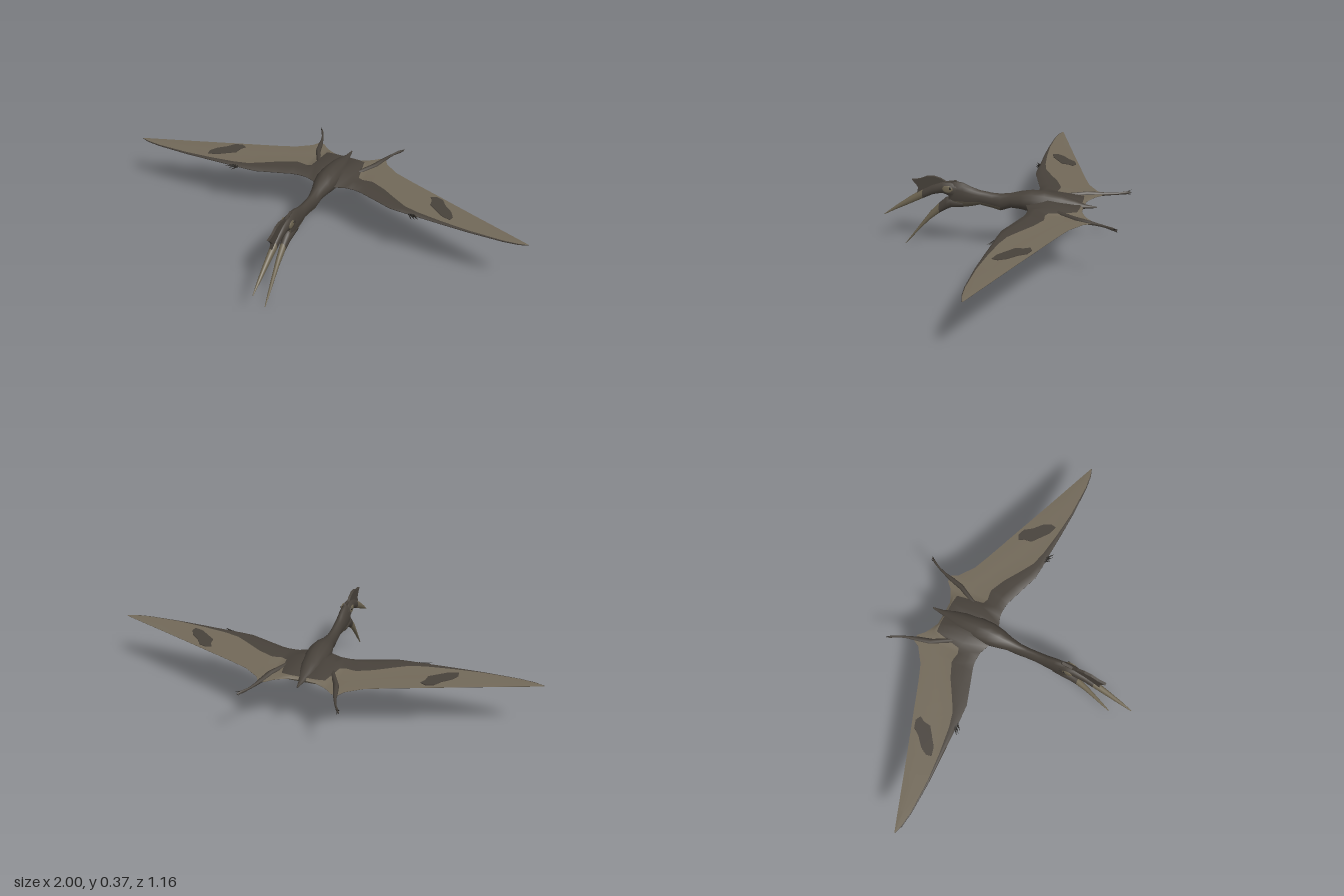
import * as THREE from 'three';

const mat = (name, color, side = THREE.FrontSide) => {
  const m = new THREE.MeshStandardMaterial({ color, side });
  m.name = name;
  return m;
};

// Skin over equal-sized rings of points; pick(i, j) chooses the material of each face
function loft(rings, pick = () => 0, flip = false) {
  const n = rings[0].length, lists = [[], []], pos = rings.flat(2);
  const tri = (k, a, b, c) => lists[k].push(...(flip ? [a, c, b] : [a, b, c]));
  for (let i = 0; i < rings.length - 1; i++) {
    for (let j = 0; j < n; j++) {
      const a = i * n + j, b = i * n + (j + 1) % n, k = pick(i, j);
      tri(k, a, b, a + n);
      tri(k, b, b + n, a + n);
    }
  }
  const last = (rings.length - 1) * n;
  for (let j = 1; j < n - 1; j++) {
    tri(pick(0, j), 0, j + 1, j);
    tri(pick(rings.length - 2, j), last, last + j, last + j + 1);
  }
  const g = new THREE.BufferGeometry();
  g.setAttribute('position', new THREE.Float32BufferAttribute(pos, 3));
  g.setIndex([...lists[0], ...lists[1]]);
  g.addGroup(0, lists[0].length, 0);
  g.addGroup(lists[0].length, lists[1].length, 1);
  g.computeVertexNormals();
  return g;
}

// Elliptical ring across z: [z, top, bottom, half width, centre x]
function ring([z, top, bottom, w, cx = 0], sides = 14) {
  return Array.from({ length: sides }, (_, j) => {
    const a = (j / sides) * Math.PI * 2;
    return [cx + Math.cos(a) * w, (top + bottom) / 2 + Math.sin(a) * (top - bottom) / 2, z];
  });
}

export function createModel() {
  const model = new THREE.Group();
  const hide = mat('dark hide', 0x48423b);
  const membrane = mat('wing membrane', 0x726959);
  const horn = mat('tan beak', 0x6f6652);
  const throat = mat('throat brown', 0x5a5346);
  const black = mat('claw and eye black', 0x24211d);
  const add = (name, geometry, material, parent = model) => {
    const m = new THREE.Mesh(geometry, material);
    m.name = name;
    parent.add(m);
    return m;
  };

  // Tail, torso and neck, with a paler throat
  const body = [
    [-0.45, 0.291, 0.285, 0.003], [-0.40, 0.296, 0.278, 0.012], [-0.35, 0.312, 0.266, 0.03],
    [-0.29, 0.328, 0.25, 0.045], [-0.21, 0.342, 0.233, 0.054], [-0.15, 0.342, 0.237, 0.054],
    [-0.10, 0.333, 0.246, 0.045], [-0.05, 0.318, 0.247, 0.031], [0, 0.31, 0.227, 0.024],
    [0.04, 0.31, 0.236, 0.022], [0.10, 0.317, 0.246, 0.022], [0.14, 0.329, 0.234, 0.023],
    [0.18, 0.346, 0.226, 0.024], [0.22, 0.352, 0.224, 0.024], [0.25, 0.345, 0.225, 0.018],
  ];
  add('body', loft(body.map((s) => ring(s)), (i, j) => (i > 7 && j > 7 && j < 13 ? 1 : 0)), [hide, throat]);

  // Skull running into the upper beak
  const skull = [
    [0.18, 0.34, 0.25, 0.02], [0.24, 0.346, 0.272, 0.026], [0.28, 0.345, 0.287, 0.022],
    [0.33, 0.326, 0.275, 0.018], [0.38, 0.298, 0.25, 0.016], [0.45, 0.25, 0.213, 0.012],
    [0.52, 0.197, 0.177, 0.008], [0.58, 0.148, 0.144, 0.002],
  ];
  add('upperBeak', loft(skull.map((s) => ring(s, 12)), (i) => (i > 3 ? 1 : 0)), [hide, horn]);

  // Lower jaw, held open
  const jaw = [
    [0.18, 0.265, 0.226, 0.02], [0.24, 0.276, 0.218, 0.023], [0.265, 0.268, 0.205, 0.019],
    [0.30, 0.235, 0.183, 0.015], [0.344, 0.188, 0.147, 0.012], [0.39, 0.125, 0.1, 0.009],
    [0.44, 0.055, 0.042, 0.006], [0.478, 0.003, 0, 0.002],
  ];
  add('lowerBeak', loft(jaw.map((s) => ring(s, 12)), (i) => (i > 2 ? 1 : 0)), [hide, horn]);

  // Head crest, a thin upright blade
  const crestShape = new THREE.Shape([
    [0.20, 0.33], [0.215, 0.355], [0.266, 0.345], [0.29, 0.359], [0.325, 0.367], [0.36, 0.363],
    [0.395, 0.347], [0.433, 0.341], [0.412, 0.32], [0.402, 0.304], [0.41, 0.27], [0.36, 0.285], [0.25, 0.3],
  ].map(([z, y]) => new THREE.Vector2(z, y)));
  const crest = new THREE.ExtrudeGeometry(crestShape, { depth: 0.012, bevelEnabled: false });
  crest.translate(0, 0, -0.006).rotateY(-Math.PI / 2);
  add('crest', crest, hide);

  // Wing stations: [x, leading z, arm rear z, trailing z, half thickness]
  const stations = [
    [0, -0.11, -0.38, -0.39, 0.034], [0.06, -0.135, -0.38, -0.392, 0.03], [0.10, -0.15, -0.375, -0.41, 0.023],
    [0.125, -0.152, -0.25, -0.425, 0.02], [0.15, -0.152, -0.24, -0.45, 0.017], [0.18, -0.147, -0.245, -0.455, 0.015],
    [0.20, -0.14, -0.246, -0.42, 0.014], [0.27, -0.117, -0.215, -0.37, 0.012], [0.35, -0.09, -0.165, -0.338, 0.011],
    [0.41, -0.086, -0.13, -0.316, 0.009], [0.48, -0.084, -0.112, -0.291, 0.008], [0.60, -0.079, -0.095, -0.247, 0.006],
    [0.73, -0.075, -0.083, -0.2, 0.004], [0.89, -0.078, -0.082, -0.143, 0.003], [0.96, -0.087, -0.09, -0.118, 0.002],
    [1, -0.1, -0.101, -0.103, 0.001],
  ];
  const wingY = 0.285;

  for (const s of [1, -1]) {
    const side = s > 0 ? 'left' : 'right';

    // Wing: thick arm in front, thin membrane behind
    const rings = stations.map(([x, lead, arm, trail, t]) => {
      const chord = [
        [trail, 0.001], [(trail + arm) / 2, Math.min(t, 0.003)], [arm, Math.min(t, x < 0.11 ? 0.012 : 0.004)],
        [arm * 0.4 + lead * 0.6, t], [lead, Math.min(t, 0.002)],
      ];
      return [
        ...chord.map(([z, h]) => [s * x, wingY + h, z]),
        ...chord.reverse().map(([z, h]) => [s * x, wingY - h, z]),
      ];
    });
    add(side + 'Wing', loft(rings, (i, j) => (j > 1 && j < 7 ? 0 : 1), s < 0), [hide, membrane]);

    // Dark blotch on the upper side of the membrane
    const blotch = new THREE.Shape([
      [0.49, -0.25], [0.515, -0.262], [0.55, -0.25], [0.575, -0.215], [0.615, -0.18],
      [0.635, -0.145], [0.63, -0.12], [0.59, -0.13], [0.55, -0.16], [0.51, -0.19], [0.505, -0.225],
    ].map(([x, z]) => new THREE.Vector2(s * x, z)));
    const plate = new THREE.ExtrudeGeometry(blotch, { depth: 0.003, bevelEnabled: false });
    plate.rotateX(Math.PI / 2).translate(0, wingY + 0.006, 0);
    add(side + 'WingBlotch', plate, hide);

    // Trailing leg
    const leg = [
      [-0.575, 0.288, 0.28, 0.003, 0.225], [-0.555, 0.293, 0.277, 0.006, 0.213], [-0.52, 0.29, 0.279, 0.005, 0.194],
      [-0.48, 0.292, 0.278, 0.007, 0.179], [-0.44, 0.295, 0.275, 0.012, 0.168], [-0.38, 0.299, 0.273, 0.014, 0.152],
      [-0.28, 0.3, 0.272, 0.012, 0.10],
    ].map(([z, a, b, w, x]) => ring([z, a, b, w, s * x], 8));
    add(side + 'Leg', loft(leg), hide);

    // Toes and wing fingers
    const spike = (name, from, to, r) => {
      const a = new THREE.Vector3(...from), d = new THREE.Vector3(...to).sub(a);
      const m = add(name, new THREE.ConeGeometry(r, d.length(), 6), black);
      m.position.copy(a).addScaledVector(d, 0.5);
      m.quaternion.setFromUnitVectors(new THREE.Vector3(0, 1, 0), d.normalize());
    };
    for (let k = -1; k <= 1; k++) {
      spike(side + 'Toe', [s * 0.213, wingY, -0.553], [s * (0.226 + k * 0.006), wingY + k * 0.011, -0.578], 0.004);
      spike(side + 'Finger', [s * (0.455 + k * 0.01), wingY, -0.09], [s * (0.485 + k * 0.016), wingY - 0.005 + k * 0.006, -0.062], 0.006);
    }

    // Pale cheek patch and eye
    const cheek = add(side + 'Cheek', new THREE.SphereGeometry(1, 14, 10), horn);
    cheek.scale.set(0.004, 0.018, 0.026);
    cheek.position.set(s * 0.0235, 0.316, 0.252);
    const eye = add(side + 'Eye', new THREE.SphereGeometry(0.006, 10, 8), black);
    eye.position.set(s * 0.025, 0.322, 0.238);
  }
  return model;
}
